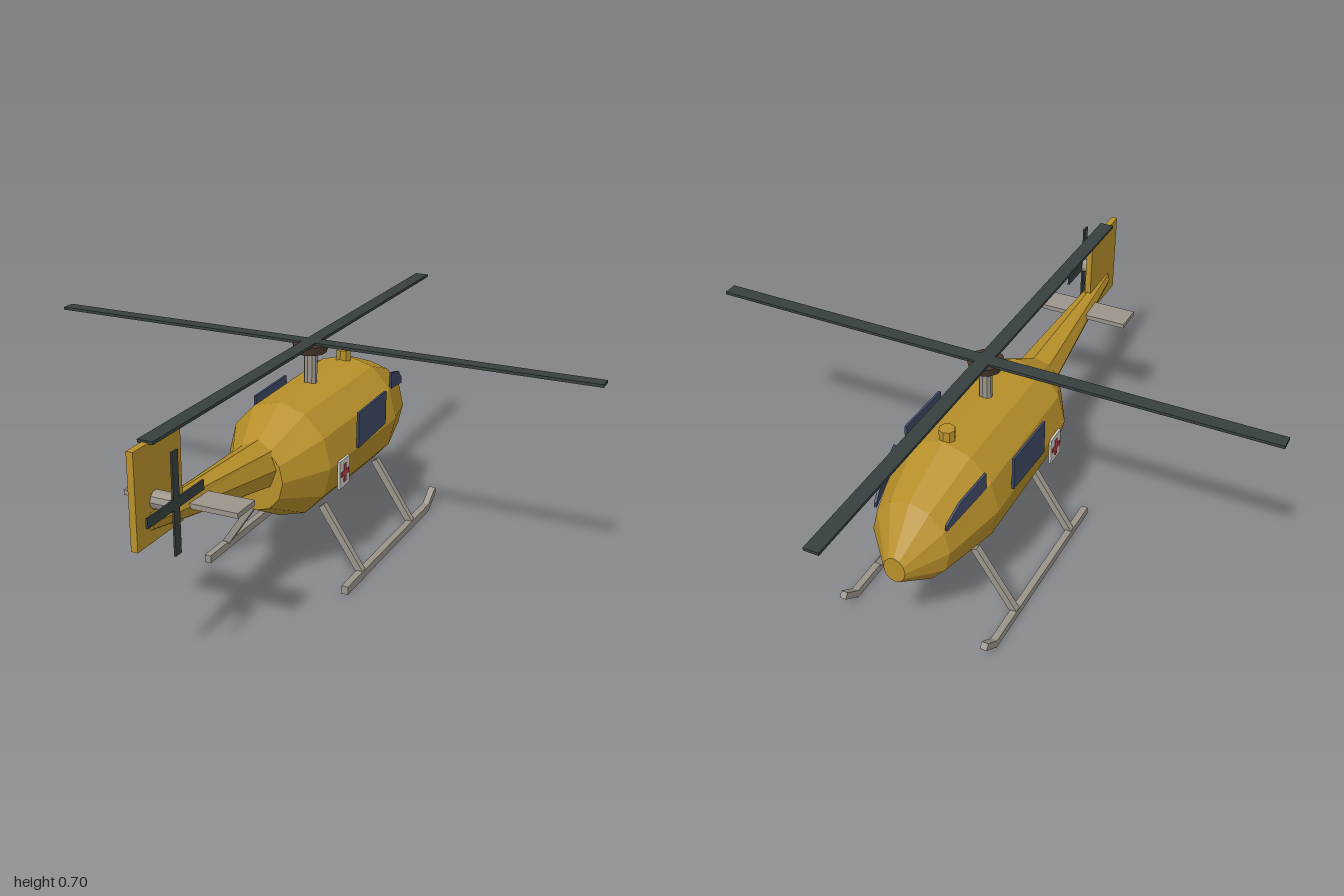
import * as THREE from 'three';

const mat = (color) => new THREE.MeshStandardMaterial({ color, flatShading: true });

// Closed skin over elliptical rings [z, yBottom, yTop, halfWidth], listed from +z to -z
function loft(rings, n) {
  const pos = [], idx = [];
  for (const [z, y0, y1, rx] of rings) {
    for (let i = 0; i < n; i++) {
      const a = (i / n) * Math.PI * 2;
      pos.push(Math.sin(a) * rx, (y0 + y1) / 2 - Math.cos(a) * (y1 - y0) / 2, z);
    }
  }
  for (let r = 0; r < rings.length - 1; r++) {
    for (let i = 0; i < n; i++) {
      const j = (i + 1) % n, hi = r * n, lo = hi + n;
      idx.push(lo + i, lo + j, hi + i, lo + j, hi + j, hi + i);
    }
  }
  const last = (rings.length - 1) * n;
  for (let i = 1; i < n - 1; i++) {
    idx.push(0, i, i + 1, last, last + i + 1, last + i);
  }
  const g = new THREE.BufferGeometry();
  g.setAttribute('position', new THREE.Float32BufferAttribute(pos, 3));
  g.setIndex(idx);
  const flat = g.toNonIndexed();
  flat.computeVertexNormals();
  return flat;
}

// Thin plate in the z-y plane from [z, y] corners, centred on x = 0
function plate(corners, depth) {
  const shape = new THREE.Shape(corners.map(([z, y]) => new THREE.Vector2(-z, y)));
  return new THREE.ExtrudeGeometry(shape, { depth, bevelEnabled: false })
    .translate(0, 0, -depth / 2).rotateY(Math.PI / 2);
}

export function createModel() {
  const model = new THREE.Group();
  const gold = mat(0xb8902a), dark = mat(0x36403e), grey = mat(0x9a948a);
  const glass = mat(0x3e4864), brown = mat(0x4a382c), white = mat(0xcccac2), red = mat(0xb83a40);

  const add = (name, geometry, material, x = 0, y = 0, z = 0) => {
    const m = new THREE.Mesh(geometry, material);
    m.name = name;
    m.position.set(x, y, z);
    model.add(m);
    return m;
  };
  const box = (name, material, w, h, d, x, y, z) =>
    add(name, new THREE.BoxGeometry(w, h, d), material, x, y, z);
  // Square bar between two points
  const bar = (name, material, a, b, w, h) => {
    const p = new THREE.Vector3(...a), q = new THREE.Vector3(...b);
    const m = box(name, material, w, h, p.distanceTo(q), 0, 0, 0);
    m.position.copy(p).add(q).multiplyScalar(0.5);
    m.lookAt(q);
    return m;
  };

  // Body, nose towards -z
  add('fuselage', loft([
    [0.315, 0.28, 0.485, 0.09],
    [0.16, 0.20, 0.57, 0.172],
    [-0.33, 0.193, 0.578, 0.18],
    [-0.53, 0.22, 0.5, 0.125],
    [-0.63, 0.285, 0.372, 0.035],
  ], 12), gold);
  add('tailBoom', loft([
    [0.89, 0.455, 0.515, 0.02],
    [0.25, 0.33, 0.495, 0.075],
  ], 8), gold);
  box('tailFin', gold, 0.02, 0.272, 0.22, 0, 0.561, 0.845);
  box('stabilizer', grey, 0.35, 0.015, 0.095, 0, 0.47, 0.688);
  add('beacon', new THREE.CylinderGeometry(0.025, 0.025, 0.04, 8), gold, 0, 0.587, -0.302);

  // Main rotor
  add('mast', new THREE.CylinderGeometry(0.021, 0.021, 0.15, 10), grey, 0, 0.61, -0.055);
  add('rotorHub', new THREE.CylinderGeometry(0.058, 0.05, 0.028, 10), brown, 0, 0.682, -0.055);
  box('rotorBladeAcross', dark, 1.83, 0.009, 0.046, 0, 0.698, -0.06);
  box('rotorBladeAlong', dark, 0.046, 0.009, 1.885, 0, 0.698, -0.0575);

  // Tail rotor on the left of the fin
  const hub = new THREE.CylinderGeometry(0.026, 0.026, 0.065, 10).rotateZ(Math.PI / 2);
  add('tailRotorHub', hub, grey, 0.036, 0.538, 0.865);
  box('tailRotorBladeUpright', dark, 0.006, 0.285, 0.028, 0.071, 0.538, 0.865);
  box('tailRotorBladeLevel', dark, 0.006, 0.028, 0.27, 0.071, 0.538, 0.865);

  // Parts on both sides
  for (const s of [-1, 1]) {
    const side = s > 0 ? 'left' : 'right';
    add(side + 'CabinWindow', plate([
      [-0.02, 0.39], [-0.235, 0.4], [-0.235, 0.51], [-0.02, 0.505],
    ], 0.008), glass, s * 0.179);

    // Windscreen pane, angled in towards the nose
    const pane = add(side + 'Windscreen', plate([
      [0.09, 0.477], [-0.09, 0.44], [-0.09, 0.457], [-0.03, 0.5], [0.09, 0.532],
    ], 0.008), glass, s * 0.131, 0, -0.44);
    pane.rotation.y = s * 0.19;

    // Medical panel
    box(side + 'MedicalPanel', white, 0.008, 0.09, 0.072, s * 0.176, 0.345, 0.075);
    box(side + 'CrossUpright', red, 0.01, 0.058, 0.016, s * 0.177, 0.345, 0.075);
    box(side + 'CrossLevel', red, 0.01, 0.016, 0.054, s * 0.177, 0.345, 0.075);

    // Landing skid with upturned toe
    box(side + 'Skid', grey, 0.022, 0.026, 0.69, s * 0.24, 0.013, -0.145);
    bar(side + 'SkidToe', grey, [s * 0.24, 0.014, -0.485], [s * 0.24, 0.058, -0.548], 0.022, 0.022);
    for (const z of [0.075, -0.338]) {
      bar(side + 'Strut', grey, [s * 0.106, 0.222, z], [s * 0.24, 0.02, z], 0.022, 0.022);
    }
  }
  return model;
}
